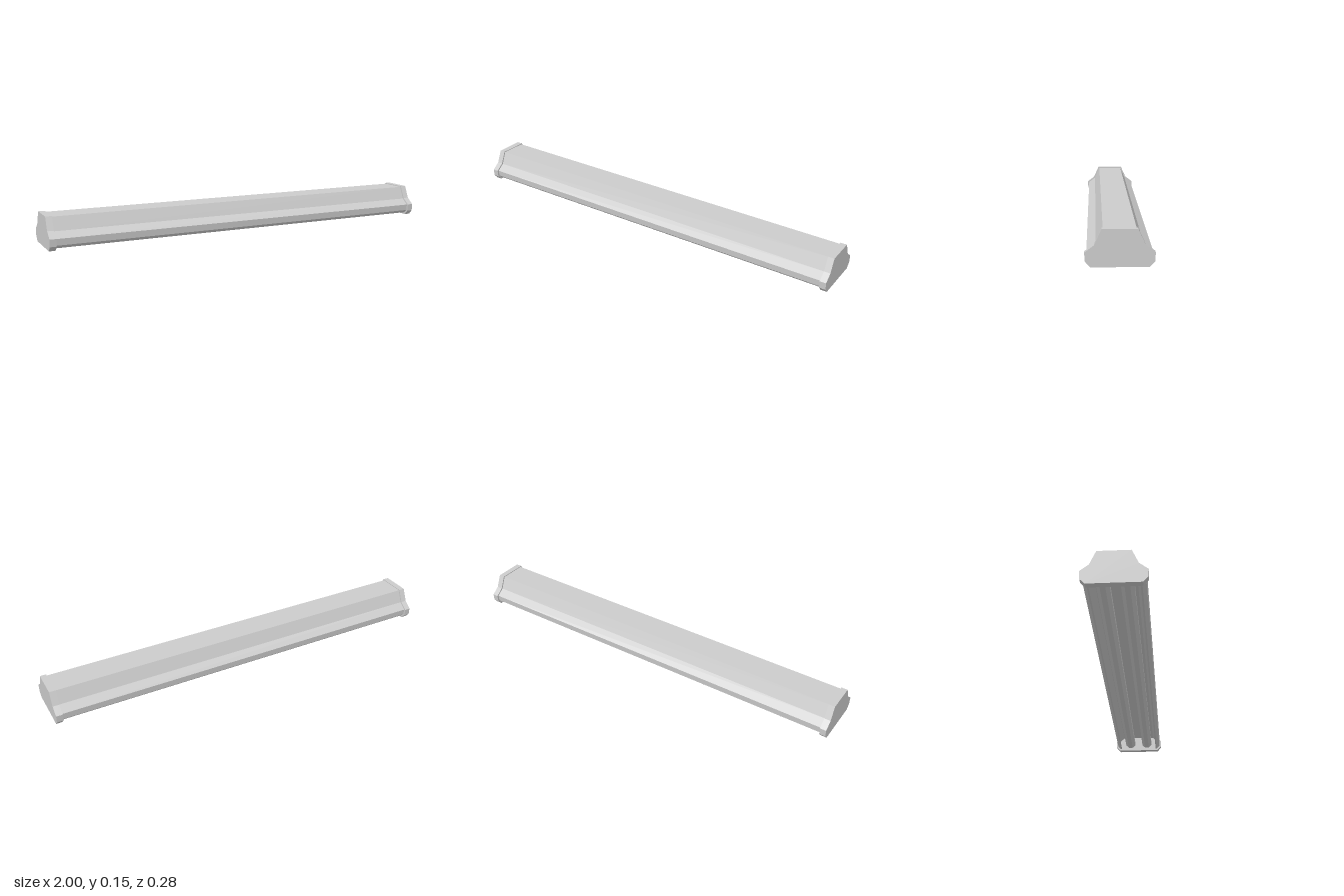
import * as THREE from 'three';

// Mirrors a half profile of [z, y] points and extrudes it along x, centred on x.
function extrudeAlongX(half, length) {
  const points = [...half, ...half.slice().reverse().map(([z, y]) => [-z, y])];
  const shape = new THREE.Shape(points.map(([z, y]) => new THREE.Vector2(-z, y)));
  const geometry = new THREE.ExtrudeGeometry(shape, { depth: length, bevelEnabled: false });
  geometry.translate(0, 0, -length / 2);
  geometry.rotateY(Math.PI / 2);
  return geometry;
}

export function createModel() {
  const model = new THREE.Group();
  model.name = 'stripLight';
  const grey = new THREE.MeshStandardMaterial({ color: 0xcccccc, flatShading: true });
  grey.name = 'lightGrey';

  const add = (name, geometry, x = 0, y = 0, z = 0) => {
    const mesh = new THREE.Mesh(geometry, grey);
    mesh.name = name;
    mesh.position.set(x, y, z);
    model.add(mesh);
  };

  // Housing: faceted outside with a recess open underneath
  add('housing', extrudeAlongX([
    [0.066, 0.146], [0.093, 0.084], [0.13, 0.056], [0.127, 0.025], [0.111, 0.01],
    [0.104, 0.01], [0.118, 0.027], [0.121, 0.052], [0.088, 0.08],
  ], 1.95));

  // End caps, slightly larger than the housing
  const cap = extrudeAlongX([
    [0.071, 0.15], [0.099, 0.088], [0.138, 0.058], [0.136, 0.023], [0.115, 0],
  ], 0.03);
  for (const side of [-1, 1]) add(side > 0 ? 'leftEndCap' : 'rightEndCap', cap, side * 0.985);

  // Two lamp tubes side by side in the recess
  const tube = new THREE.CylinderGeometry(0.03, 0.03, 1.95, 8, 1);
  tube.rotateY(Math.PI / 8);
  tube.rotateZ(Math.PI / 2);
  for (const side of [-1, 1]) add(side > 0 ? 'frontTube' : 'backTube', tube, 0, 0.045, side * 0.05);

  return model;
}
